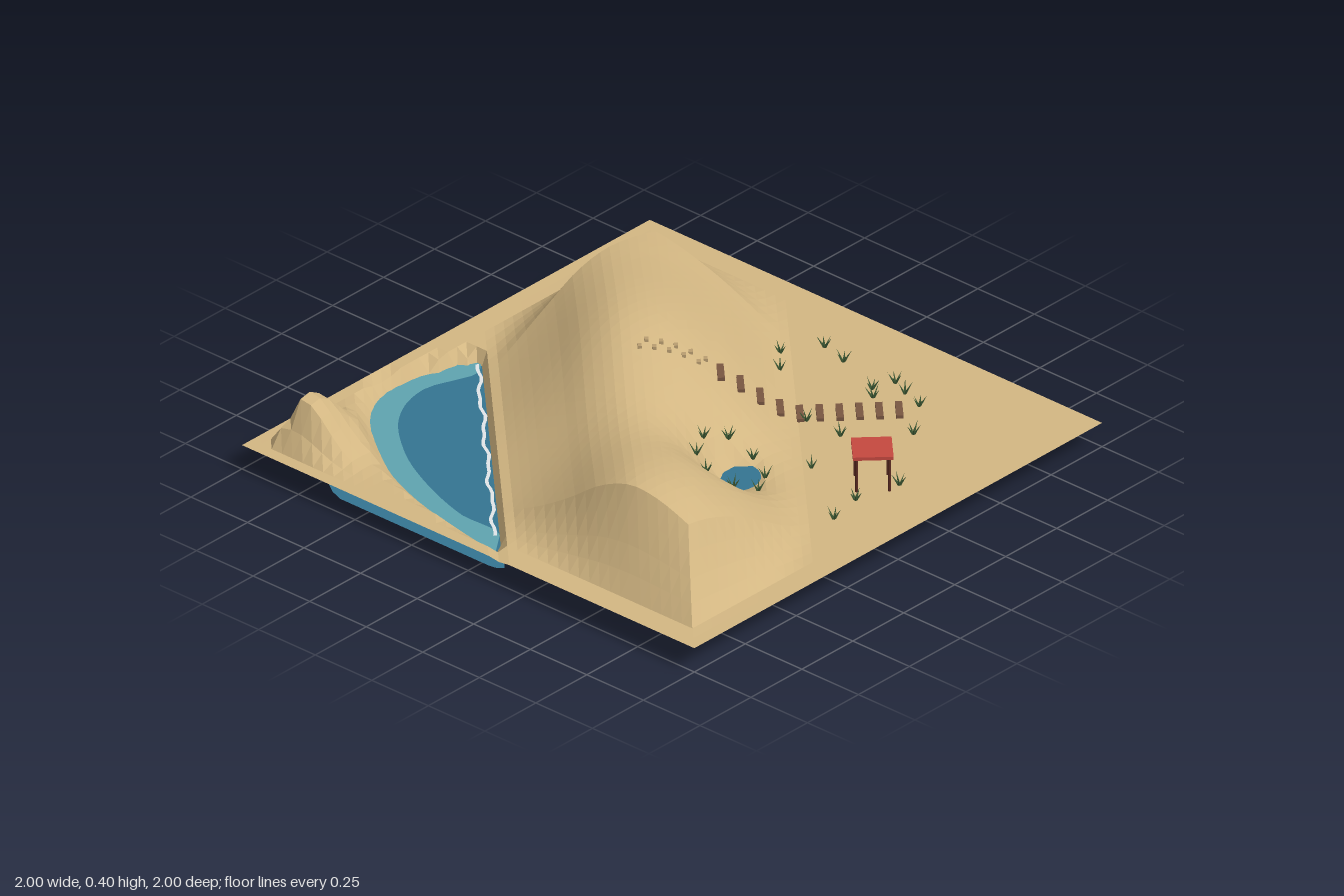
import * as THREE from 'three';
import { mergeGeometries } from 'three/addons/utils/BufferGeometryUtils.js';

const GROUND = 0.09;
const clamp = THREE.MathUtils.clamp;
const smooth = THREE.MathUtils.smoothstep;

const mat = (name, color, opts = {}) => {
  const m = new THREE.MeshStandardMaterial({ color, ...opts });
  m.name = name;
  return m;
};

// Smooth curve through [x, y] pairs
function curve(p, x) {
  if (x <= p[0][0]) return p[0][1];
  const n = p.length - 1;
  if (x >= p[n][0]) return p[n][1];
  let i = 0;
  while (x > p[i + 1][0]) i++;
  const slope = (k) => (k === 0 || k === n ? 0 : (p[k + 1][1] - p[k - 1][1]) / (p[k + 1][0] - p[k - 1][0]));
  const w = p[i + 1][0] - p[i][0], u = (x - p[i][0]) / w, u2 = u * u, u3 = u2 * u;
  return (2 * u3 - 3 * u2 + 1) * p[i][1] + (u3 - 2 * u2 + u) * w * slope(i)
    + (3 * u2 - 2 * u3) * p[i + 1][1] + (u3 - u2) * w * slope(i + 1);
}

// Ridge section across the diagonal, and crest height along it
const SECTION = [[-0.82, 0], [-0.7, 0.16], [-0.53, 0.5], [-0.38, 0.83], [-0.22, 1], [0, 0.92], [0.25, 0.56], [0.4, 0.28], [0.5, 0.1], [0.6, 0]];
const CREST = [[-0.85, 0.24], [-0.58, 0.305], [-0.175, 0.23], [0.19, 0.305], [0.6, 0.22], [0.85, 0.18]];

// Lake coordinates: s along the dam, d away from it; shore and deep-water outlines
const LAKE = -0.435, R = Math.SQRT1_2;
const toLake = (x, z) => [(x - z) * R, (2 * LAKE - x - z) * R];
const SHORE = [[-0.71, -0.06], [-0.665, -0.007], [-0.485, 0.125], [-0.29, 0.24], [-0.076, 0.323], [0.187, 0.358],
  [0.389, 0.297], [0.51, 0.148], [0.58, -0.007], [0.61, -0.08]];
const DEEP = [[-0.56, -0.02], [-0.417, 0.1], [-0.189, 0.21], [0.018, 0.266], [0.245, 0.267], [0.42, 0.173], [0.52, -0.01]];
const POND = { x: -0.1, z: 0.35 };

function height(x, z) {
  const t = x + z, edge = Math.max(Math.abs(x), Math.abs(z));
  // long ridge, ramped down to the ground near the border and hollowed at the pond
  let ridge = Math.max(0, curve(SECTION, t)) * curve(CREST, (x - z) / 2) * clamp((0.91 - edge) / 0.18, 0, 1);
  ridge *= 1 - Math.exp(-((x + 0.085) ** 2 + (z - 0.4) ** 2) / 0.0324);
  const bowl = 0.014 * (1 - smooth(Math.hypot(x - POND.x, z - POND.z), 0.07, 0.12));
  // lake basin with a sharp dam side
  const [s, d] = toLake(x, z);
  const basin = t < -0.84 ? clamp((curve(SHORE, s) - d) / 0.1 + 0.62, 0, 1) : 0;
  // corner peak
  const peak = 0.18 * Math.exp(-((x + 0.83) ** 2 + (z + 0.85) ** 2) / 0.021) * clamp((0.955 - edge) / 0.085, 0, 1);
  return GROUND + ridge - bowl + peak * (1 - basin) - GROUND * basin;
}

// Flat patch given in lake coordinates
function lakePatch(points, y) {
  const geo = new THREE.ShapeGeometry(new THREE.Shape(points.map(([s, d]) => new THREE.Vector2(s, d))));
  const p = geo.attributes.position;
  for (let i = 0; i < p.count; i++) {
    const s = p.getX(i), d = p.getY(i);
    p.setXYZ(i, Math.max(LAKE + (s - d) * R, -0.985), y, Math.max(LAKE - (s + d) * R, -0.985));
  }
  geo.computeVertexNormals();
  return geo;
}
// Points along an outline, pushed outwards by off
const outline = (table, a, b, off = 0, n = 40) => Array.from({ length: n + 1 }, (_, i) => {
  const s = a + (b - a) * i / n;
  return [s, curve(table, s) + off];
});

export function createModel() {
  const root = new THREE.Group();
  const two = { side: THREE.DoubleSide };
  const sand = mat('sand', 0xd2b682, { ...two, flatShading: true });
  const water = mat('deep water', 0x347491, two);
  const shallow = mat('shallow water', 0x5fa3af, two);
  const foam = mat('foam', 0xeceff2, two);
  const plank = mat('plank wood', 0x785641);
  const post = mat('post wood', 0x5a2a21);
  const red = mat('roof red', 0xc4483f);
  const green = mat('grass green', 0x3d5934);
  const stone = mat('path stone', 0xb89d70);
  const add = (name, geo, material, parent = root) => {
    const m = new THREE.Mesh(geo, material);
    m.name = name;
    parent.add(m);
    return m;
  };

  // Terrain sheet
  const land = new THREE.PlaneGeometry(2, 2, 44, 44).rotateX(-Math.PI / 2);
  const p = land.attributes.position;
  for (let i = 0; i < p.count; i++) p.setY(i, height(p.getX(i), p.getZ(i)));
  land.computeVertexNormals();
  add('terrain', land, sand);

  // Lake, its shallow margin and the foam by the dam
  const rim = Array.from({ length: 41 }, (_, i) => [0.77 * Math.cos(i / 40 * Math.PI), 0.54 * Math.sin(i / 40 * Math.PI)]);
  add('lake', lakePatch([[0.77, -0.025], ...rim, [-0.77, -0.025]], 0.042), water);
  add('lakeShallows', lakePatch([...outline(SHORE, -0.69, 0.6, 0.045), ...outline(DEEP, 0.52, -0.56)], 0.046), shallow);
  const foamEdge = (off) => Array.from({ length: 41 }, (_, i) => {
    const s = -0.57 + i * 0.0283;
    return [s, -0.004 + 0.006 * Math.sin(s * 23) + 0.004 * Math.sin(s * 51) + off];
  });
  add('foamLine', lakePatch([...foamEdge(-0.006), ...foamEdge(0.006).reverse()], 0.05), foam);

  // Pond
  const pond = new THREE.CircleGeometry(0.1, 32).rotateX(-Math.PI / 2);
  add('pond', pond.translate(POND.x, 0.106, POND.z), water);

  // Plank steps down the front slope
  const steps = new THREE.Group();
  steps.name = 'steps';
  root.add(steps);
  for (let i = 0; i < 10; i++) {
    const x = 0.185 + i * 0.0472, z = 0.048 + i * 0.0452;
    const m = add('step', new THREE.BoxGeometry(0.095, 0.012, 0.024), plank, steps);
    m.position.set(x, height(x, z) + 0.006, z);
    m.rotation.y = Math.PI / 4;
  }

  // Stepping stones up to the crest
  const stones = new THREE.Group();
  stones.name = 'steppingStones';
  root.add(stones);
  for (let i = 0; i < 10; i++) {
    const j = i % 2 ? 0.012 : -0.012;
    const x = i * 0.018 + j, z = -0.145 + i * 0.0165 - j;
    const m = add('stone', new THREE.BoxGeometry(0.02, 0.01, 0.014), stone, stones);
    m.position.set(x, height(x, z) + 0.003, z);
    m.rotation.y = Math.PI / 4;
  }

  // Shelter with a square roof on four posts
  const shelter = new THREE.Group();
  shelter.name = 'shelter';
  shelter.position.set(0.2, GROUND, 0.705);
  shelter.rotation.y = Math.PI / 4;
  root.add(shelter);
  add('roof', new THREE.BoxGeometry(0.134, 0.012, 0.134), red, shelter).position.y = 0.13;
  for (const x of [-1, 1]) for (const z of [-1, 1]) {
    add('post', new THREE.CylinderGeometry(0.005, 0.005, 0.126, 8), post, shelter).position.set(x * 0.054, 0.063, z * 0.054);
  }

  // Grass tufts of five leaning blades
  const spots = [
    [0.62, -0.08], [0.76, -0.01], [0.53, 0], [0.73, 0.1], [0.66, 0.29], [0.62, 0.33], [0.74, 0.32], [0.71, 0.39],
    [0.68, 0.48], [0.53, 0.59], [0.36, 0.27], [0.36, 0.42], [0.14, 0.49], [-0.06, 0.77], [0.08, 0.74], [0.25, 0.78],
    [-0.23, 0.36], [-0.18, 0.27], [-0.09, 0.22], [0, 0.25], [0.02, 0.34], [-0.02, 0.43], [-0.11, 0.48], [-0.2, 0.45],
  ];
  const blades = [];
  spots.forEach(([x, z], n) => {
    for (let k = 0; k < 5; k++) {
      const h = 0.04 + 0.004 * ((n + k * 2) % 4);
      blades.push(new THREE.ConeGeometry(0.005, h, 4).translate(0, h / 2, 0).rotateZ(-0.55)
        .rotateY(n + k * Math.PI * 0.4).translate(x, height(x, z) - 0.002, z));
    }
  });
  add('grassTufts', mergeGeometries(blades), green);

  return root;
}
